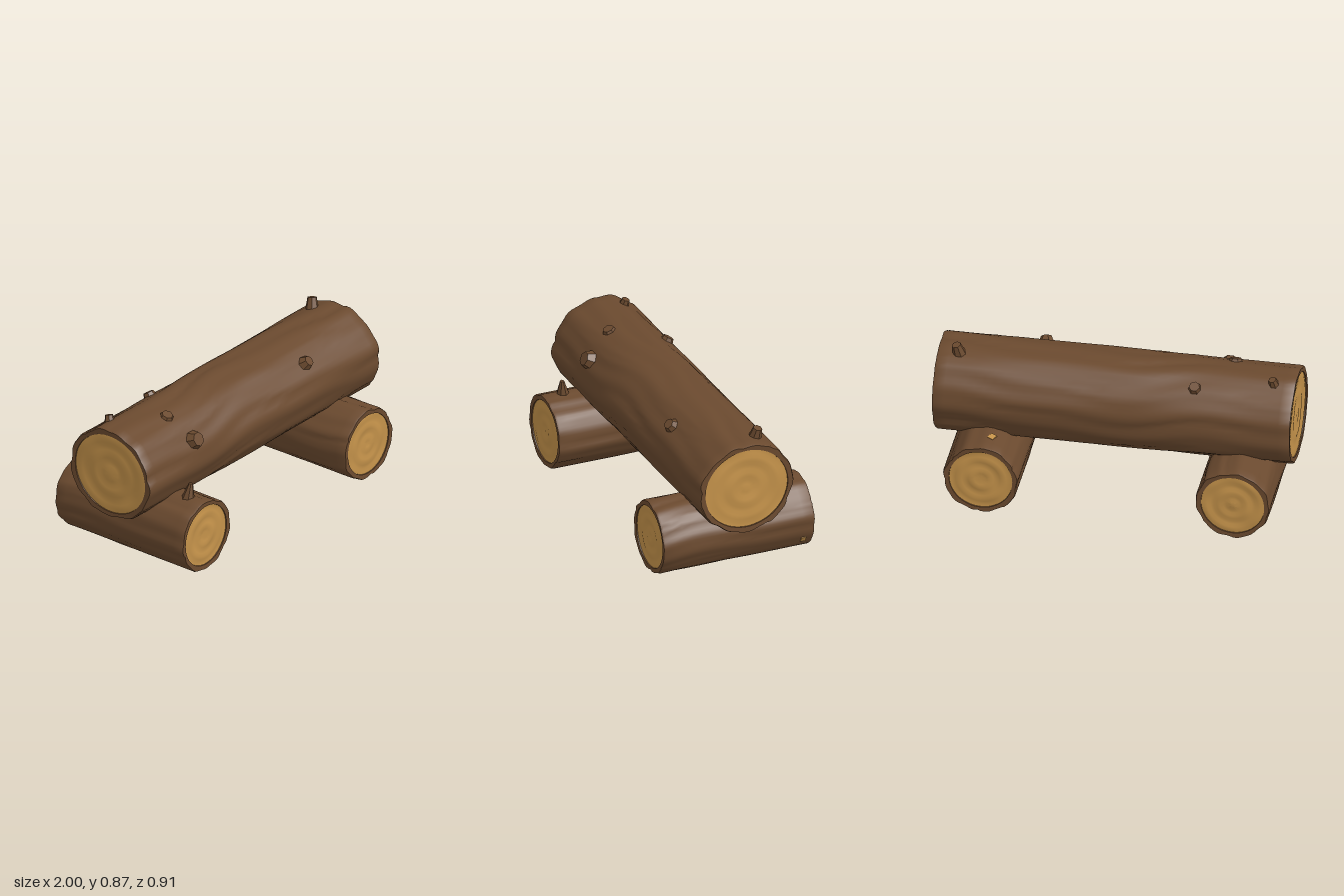
import * as THREE from 'three';
import { mergeVertices, toCreasedNormals } from 'three/addons/utils/BufferGeometryUtils.js';

const bark = new THREE.MeshStandardMaterial({ color: 0x6b4a2f });
const wood = new THREE.MeshStandardMaterial({ color: 0xc4924a });

function add(parent, name, geometry, material) {
  const mesh = new THREE.Mesh(geometry, material);
  mesh.name = name;
  parent.add(mesh);
  return mesh;
}

// Weld a lathe so its seam shades smoothly, keeping sharp edges
function weld(geometry, angle) {
  geometry.deleteAttribute('uv');
  geometry.deleteAttribute('normal');
  return toCreasedNormals(mergeVertices(geometry, 1e-5), angle);
}

// Wavy lengthwise ridges and narrow cracks, as a fraction of the radius
function barkRelief(a, y, s) {
  const wander = 0.12 * Math.sin(y * 4 + s) + 0.06 * Math.sin(y * 9 + s * 2);
  const lumps = 0.012 * Math.sin(3 * a + s + y) + 0.014 * Math.sin(7 * a + s * 2 + y * 1.5);
  const ridges = 0.012 * Math.sin(13 * (a + wander) + s);
  const crack = Math.pow(Math.max(0, Math.sin(9 * (a + wander) + s * 3)), 10);
  return lumps + ridges - 0.035 * crack * (0.5 + 0.5 * Math.sin(y * 6 + a * 3 + s));
}

// Hollow-ended bark shell along y, with an elliptical section
function barkGeometry(rx, rz, half, inner, seed) {
  const pts = [[inner, -half + 0.02], [inner + 0.01, -half + 0.002], [0.965, -half]];
  const steps = Math.round(half * 36);
  for (let i = 0; i <= steps; i++) pts.push([0.985, (half - 0.012) * (2 * i / steps - 1)]);
  pts.push([0.965, half], [inner + 0.01, half - 0.002], [inner, half - 0.02]);
  const g = new THREE.LatheGeometry(pts.map(p => new THREE.Vector2(...p)), 72);
  const p = g.attributes.position;
  for (let i = 0; i < p.count; i++) {
    const x = p.getX(i), y = p.getY(i), z = p.getZ(i);
    const r = Math.hypot(x, z);
    const edge = THREE.MathUtils.clamp((r - inner) / (0.96 - inner), 0, 1);
    const k = 1 + edge * barkRelief(Math.atan2(x, z), y, seed);
    p.setXYZ(i, x * k * rx, y, z * k * rz);
  }
  return weld(g, 0.9);
}

// Sawn face with faint growth rings and an uneven surface
function sawnGeometry(rx, rz, inner, seed) {
  const pts = [];
  for (let i = 0; i <= 10; i++) pts.push(new THREE.Vector2((inner + 0.015) * (1 - i / 10), 0));
  const g = new THREE.LatheGeometry(pts, 40);
  const p = g.attributes.position;
  for (let i = 0; i < p.count; i++) {
    const x = p.getX(i), z = p.getZ(i), r = Math.hypot(x, z);
    const dip = 0.003 * Math.sin(r * 18 + seed) + 0.003 * Math.sin(5 * x + seed) * Math.cos(6 * z - seed);
    p.setXYZ(i, x * rx, r > inner - 0.05 ? 0 : dip, z * rz);
  }
  return weld(g, 1.2);
}

function makeLog(name, rx, rz, half, inner, seed) {
  const log = new THREE.Group();
  log.name = name;
  add(log, 'bark', barkGeometry(rx, rz, half, inner, seed), bark);
  for (const side of [1, -1]) {
    const face = add(log, 'sawnEnd', sawnGeometry(rx, rz, inner, seed + side), wood);
    face.position.y = side * (half - 0.008);
    if (side < 0) face.rotation.x = Math.PI;
  }
  return log;
}

// Tapered knot pointing away from the log's axis
function knot(parent, name, pos, dir, r0, r1, h) {
  const mesh = add(parent, name, new THREE.CylinderGeometry(r1, r0, h, 7).toNonIndexed(), bark);
  mesh.geometry.computeVertexNormals();
  mesh.position.set(...pos);
  mesh.quaternion.setFromUnitVectors(new THREE.Vector3(0, 1, 0), new THREE.Vector3(...dir).normalize());
}

export function createModel() {
  const model = new THREE.Group();
  model.name = 'logBench';

  // Seat log, lying along x
  const seat = makeLog('seatLog', 0.27, 0.287, 1, 0.855, 1.3);
  seat.rotation.z = -Math.PI / 2;
  seat.position.y = 0.555;
  model.add(seat);

  // Two support logs, lying along z
  [[-0.715, 2.1], [0.695, 4.4]].forEach(([x, seed]) => {
    const support = makeLog('supportLog', 0.21, 0.211, 0.453, 0.835, seed);
    support.rotation.x = Math.PI / 2;
    support.position.set(x, 0.212, 0);
    model.add(support);
  });

  // Branch stubs and knots: position, direction, base and tip radius, height
  [
    [[0.885, 0.82, -0.105], [0.25, 1, -0.2], 0.04, 0.026, 0.08],
    [[-0.88, 0.805, -0.1], [0.2, 1, -0.3], 0.035, 0.022, 0.07],
    [[-0.45, 0.765, -0.165], [0, 1, -0.6], 0.045, 0.03, 0.05],
    [[-0.63, 0.795, 0.1], [0, 1, 0.4], 0.05, 0.032, 0.04],
    [[0.45, 0.735, 0.21], [0.2, 0.9, 1], 0.05, 0.03, 0.05],
    [[-0.57, 0.68, 0.255], [0, 0.5, 1], 0.06, 0.04, 0.055],
  ].forEach(k => knot(model, 'knot', ...k));

  // Splinter on top of one support
  knot(model, 'splinter', [-0.725, 0.45, 0.34], [0.15, 1, 0.1], 0.04, 0.012, 0.1);

  // Bare chips where the bark is missing
  const topChip = add(model, 'bareChip', new THREE.BoxGeometry(0.035, 0.008, 0.045), wood);
  topChip.position.set(0.655, 0.418, -0.325);
  topChip.rotation.set(0, -0.4, 0.18);
  const sideChip = add(model, 'bareChip', new THREE.BoxGeometry(0.008, 0.035, 0.03), wood);
  sideChip.position.set(0.876, 0.108, -0.395);
  sideChip.rotation.z = -0.53;

  return model;
}
